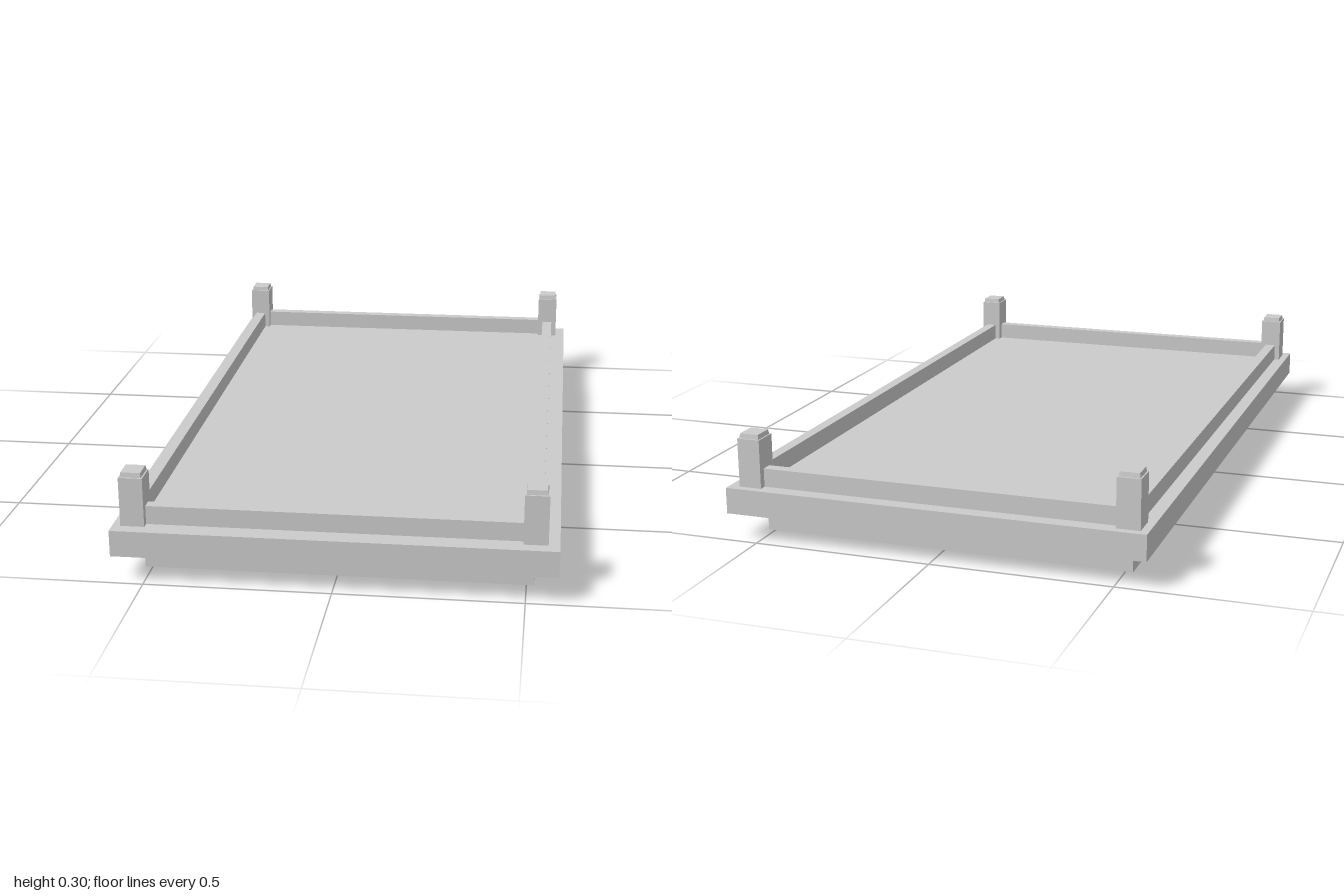
import * as THREE from 'three';

const material = new THREE.MeshStandardMaterial({ color: 0xcccccc, flatShading: true });

// Box given by its extents on each axis
function block(name, [x0, x1], [y0, y1], [z0, z1]) {
  const mesh = new THREE.Mesh(new THREE.BoxGeometry(x1 - x0, y1 - y0, z1 - z0), material);
  mesh.position.set((x0 + x1) / 2, (y0 + y1) / 2, (z0 + z1) / 2);
  mesh.name = name;
  return mesh;
}

// Square post with a small, slightly tapered cap
function cornerPost(x, z) {
  const post = new THREE.Group();
  post.name = 'cornerPost';
  const w = 0.032, d = 0.036, bottom = 0.148, shoulder = 0.283, top = 0.296;
  post.add(block('postShaft', [-w, w], [bottom, shoulder], [-d, d]));
  const cap = block('postCap', [-0.028, 0.028], [shoulder, top], [-0.031, 0.031]);
  const p = cap.geometry.attributes.position;
  for (let i = 0; i < p.count; i++) {
    if (p.getY(i) > 0) p.setXYZ(i, p.getX(i) * 0.94, p.getY(i), p.getZ(i) * 0.94);
  }
  cap.geometry.computeVertexNormals();
  post.add(cap);
  post.position.set(x, 0, z);
  return post;
}

export function createModel() {
  const model = new THREE.Group();
  model.name = 'platform';

  // Recessed plinth and overhanging deck
  model.add(block('plinth', [-0.52, 0.52], [0, 0.076], [-0.89, 0.89]));
  model.add(block('deck', [-0.584, 0.584], [0.076, 0.148], [-1, 1]));

  // Corner posts, set very slightly off centre
  const postX = [-0.53, 0.522], postZ = [-0.942, 0.928];
  for (const x of postX) for (const z of postZ) model.add(cornerPost(x, z));

  // Low rails running between the posts
  const half = 0.016, height = [0.148, 0.199];
  for (const x of postX) model.add(block('sideRail', [x - half, x + half], height, [postZ[0] + 0.036, postZ[1] - 0.036]));
  for (const z of postZ) model.add(block('endRail', [postX[0] + 0.032, postX[1] - 0.032], height, [z - half, z + half]));

  return model;
}
